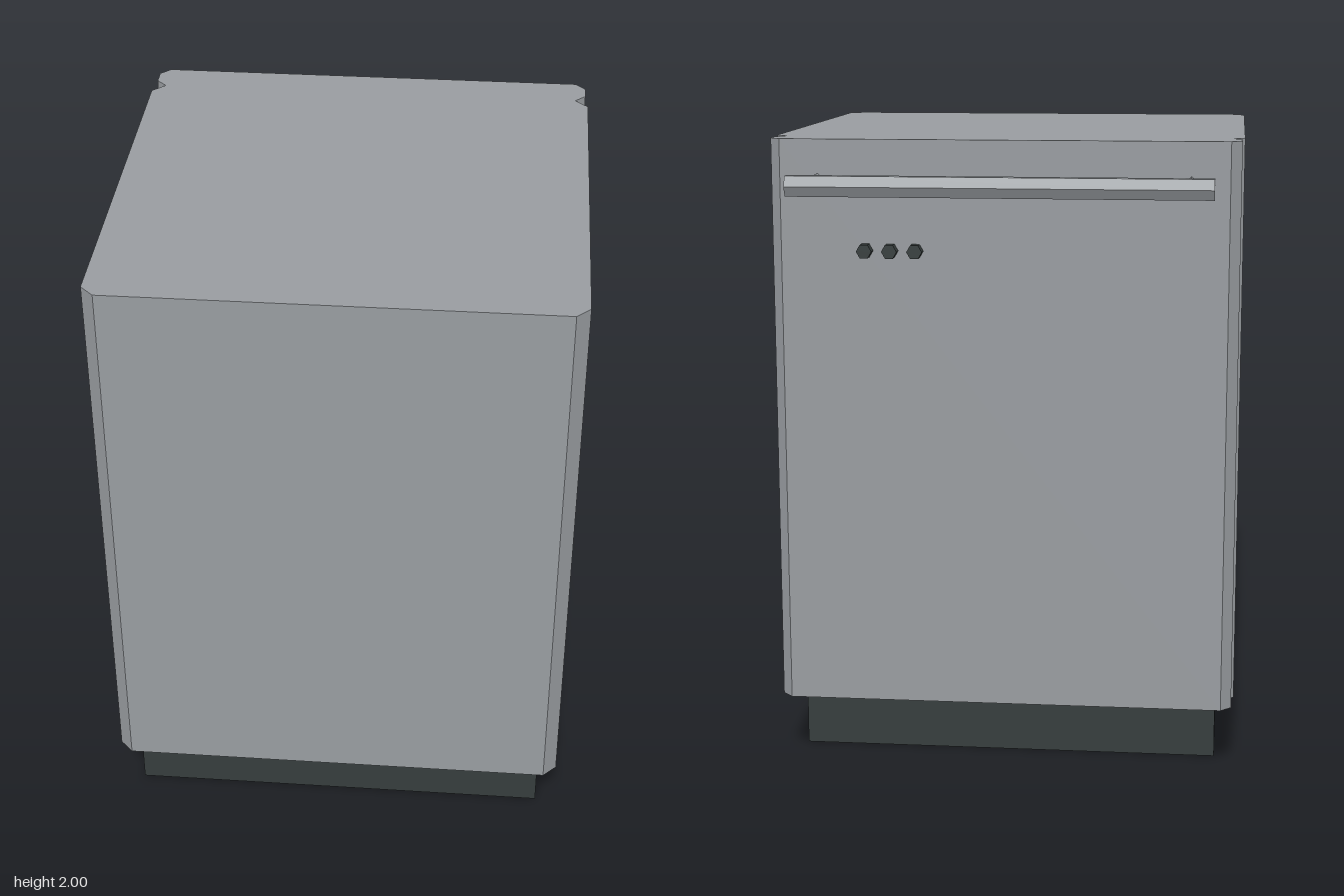
import * as THREE from 'three';

const steel = new THREE.MeshStandardMaterial({ color: 0x989ca0 });
steel.name = 'brushedSteel';
steel.flatShading = true;
const dark = new THREE.MeshStandardMaterial({ color: 0x363d3d });
dark.name = 'darkPlastic';
dark.flatShading = true;

// Upright slab with chamfered vertical corners, spanning y0..y1 and z0..z1
function chamferedSlab(name, halfWidth, z0, z1, y0, y1, c) {
  const w = halfWidth;
  const plan = [
    [-w + c, -z1], [w - c, -z1], [w, -z1 + c], [w, -z0 - c],
    [w - c, -z0], [-w + c, -z0], [-w, -z0 - c], [-w, -z1 + c],
  ].map(([x, y]) => new THREE.Vector2(x, y));
  const geo = new THREE.ExtrudeGeometry(new THREE.Shape(plan), { depth: y1 - y0, bevelEnabled: false });
  geo.rotateX(-Math.PI / 2);
  geo.translate(0, y0, 0);
  const mesh = new THREE.Mesh(geo, steel);
  mesh.name = name;
  return mesh;
}

// Low-poly rod along z with corners pointing sideways (+x and -x)
function rodZ(name, radius, sides, x, y, z0, z1, material) {
  const geo = new THREE.CylinderGeometry(radius, radius, z1 - z0, sides);
  geo.rotateY(Math.PI / 2);
  geo.rotateX(Math.PI / 2);
  const mesh = new THREE.Mesh(geo, material);
  mesh.name = name;
  mesh.position.set(x, y, (z0 + z1) / 2);
  return mesh;
}

export function createModel() {
  const model = new THREE.Group();
  model.name = 'undercounterAppliance';

  // Recessed plinth
  const plinth = new THREE.Mesh(new THREE.BoxGeometry(1.34, 0.2, 1.22), dark);
  plinth.name = 'plinth';
  plinth.position.set(0, 0.1, 0.115);
  model.add(plinth);

  // Cabinet and door, meeting in a V-shaped groove
  model.add(chamferedSlab('cabinet', 0.73, -0.528, 0.813, 0.2, 2, 0.042));
  model.add(chamferedSlab('door', 0.722, -0.65, -0.528, 0.21, 2, 0.033));

  // Bar handle on two posts
  const handle = new THREE.Group();
  handle.name = 'handle';
  const barGeo = new THREE.CylinderGeometry(0.036, 0.036, 1.286, 6);
  barGeo.rotateZ(Math.PI / 2);
  const bar = new THREE.Mesh(barGeo, steel);
  bar.name = 'handleBar';
  bar.position.set(0, 1.868, -0.777);
  handle.add(bar);
  for (const side of [-1, 1]) {
    handle.add(rodZ('handlePost', 0.027, 4, side * 0.571, 1.868, -0.77, -0.645, steel));
  }
  model.add(handle);

  // Three control knobs
  for (const x of [0.27, 0.348, 0.426]) {
    model.add(rodZ('knob', 0.024, 6, x, 1.66, -0.685, -0.645, dark));
  }
  return model;
}
